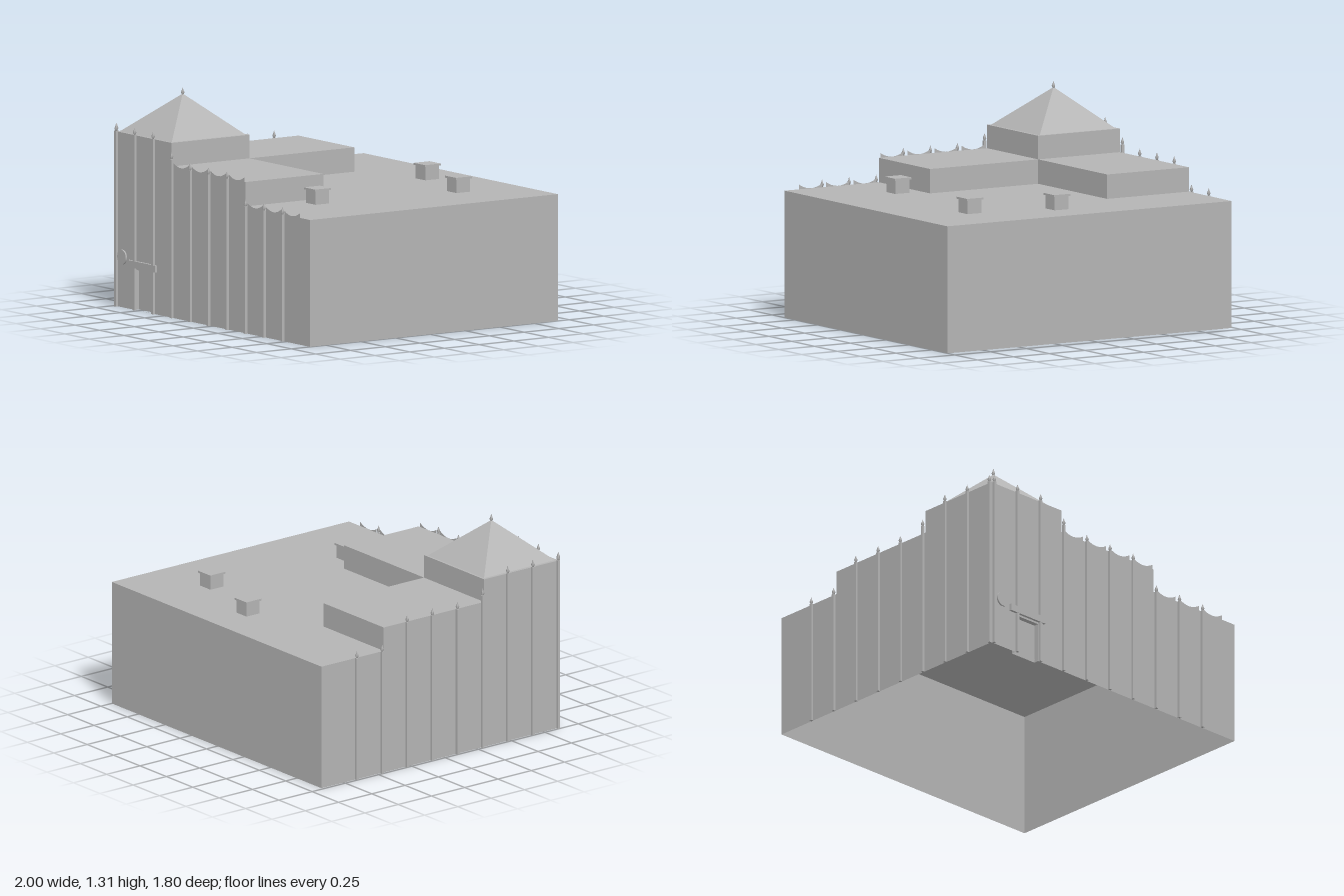
import * as THREE from 'three';

export function createModel() {
  const model = new THREE.Group();
  const stone = new THREE.MeshStandardMaterial({ color: 0xb4b4b4, side: THREE.DoubleSide });
  stone.name = 'grey stone';

  const add = (name, geometry, x = 0, y = 0, z = 0, parent = model) => {
    const mesh = new THREE.Mesh(geometry, stone);
    mesh.name = name;
    mesh.position.set(x, y, z);
    parent.add(mesh);
    return mesh;
  };

  // Single-face panel from four corners, counter-clockwise seen from outside
  const quad = (name, a, b, c, d) => {
    const g = new THREE.BufferGeometry();
    g.setAttribute('position', new THREE.Float32BufferAttribute([...a, ...b, ...c, ...d], 3));
    g.setIndex([0, 1, 2, 0, 2, 3]);
    g.computeVertexNormals();
    return add(name, g);
  };
  const wall = (name, x0, z0, x1, z1, y0, y1) =>
    quad(name, [x0, y0, z0], [x1, y0, z1], [x1, y1, z1], [x0, y1, z0]);
  const deck = (name, x0, x1, z0, z1, y) =>
    quad(name, [x0, y, z1], [x1, y, z1], [x1, y, z0], [x0, y, z0]);

  // Plan lines and roof heights
  const L = -0.985, T = -0.415, M = 0.34, R = 1;
  const B = -0.918, S = -0.45, K = 0.305, F = 0.865;
  const low = 0.755, mid = 0.9, high = 1.04;

  // Flat roofs: the shell is hollow, with no floors inside
  deck('lowRoofBack', L, R, B, S, low);
  deck('lowRoofMiddle', T, R, S, K, low);
  deck('lowRoofFront', M, R, K, F, low);
  deck('sideWingRoof', L, T, S, K, mid);
  deck('frontWingRoof', T, M, K, F, mid);
  deck('towerDeck', L, T, K, F, high);

  // Outer walls
  wall('rightWall', R, F, R, B, 0, low);
  wall('backWall', R, B, L, B, 0, low);
  wall('sideWallLow', L, B, L, S, 0, low);
  wall('sideWallMiddle', L, S, L, K, 0, mid);
  wall('sideWallTower', L, K, L, F, 0, high);

  // Steps between the roof levels
  wall('sideWingBack', T, S, L, S, low, mid);
  wall('sideWingInner', T, K, T, S, low, mid);
  wall('frontWingBack', M, K, T, K, low, mid);
  wall('frontWingEnd', M, F, M, K, low, mid);
  wall('towerBack', T, K, L, K, mid, high);
  wall('towerEnd', T, F, T, K, mid, high);

  // Front wall with scalloped parapets and a door opening
  const columnXs = Array.from({ length: 10 }, (_, i) => -0.97 + i * 0.189);
  const facade = new THREE.Shape();
  facade.moveTo(L, 0);
  facade.lineTo(L, high);
  facade.lineTo(T, high);
  facade.lineTo(T, mid);
  const scallops = (from, to, y) => {
    for (let i = from; i <= to; i++) {
      const x0 = columnXs[i] + 0.008, x1 = columnXs[i] + 0.166;
      facade.lineTo(x0, y);
      facade.lineTo(x0, y + 0.022);
      facade.quadraticCurveTo((x0 + x1) / 2, y - 0.024, x1, y + 0.028);
      facade.lineTo(x1, y);
    }
  };
  scallops(3, 6, mid);
  facade.lineTo(M, mid);
  facade.lineTo(M, low);
  scallops(7, 9, low);
  facade.lineTo(R, low);
  facade.lineTo(R, 0);

  const D0 = -0.79, D1 = -0.605, DH = 0.24, DZ = F - 0.03;
  const opening = new THREE.Path();
  opening.moveTo(D0, 0.0005);
  opening.lineTo(D1, 0.0005);
  opening.lineTo(D1, DH);
  opening.lineTo(D0, DH);
  opening.closePath();
  facade.holes.push(opening);
  add('frontWall', new THREE.ShapeGeometry(facade, 8), 0, 0, F);

  // Recessed door with its reveals
  wall('door', D0, DZ, D1, DZ, 0, DH);
  wall('doorRevealRight', D0, F, D0, DZ, 0, DH);
  wall('doorRevealLeft', D1, DZ, D1, F, 0, DH);
  deck('doorHead', D0, D1, DZ, F, DH);

  // Slim columns, each ending in a pointed finial
  const finial = new THREE.LatheGeometry([
    [0.005, 0], [0.011, 0.014], [0.006, 0.026], [0, 0.045],
  ].map(([x, y]) => new THREE.Vector2(x, y)), 4, Math.PI / 4);
  const column = (name, x, z, top) => {
    const g = new THREE.Group();
    g.name = name;
    g.position.set(x, 0, z);
    const h = top - 0.044;
    add('shaft', new THREE.BoxGeometry(0.016, h, 0.016), 0, h / 2, 0, g);
    add('finial', finial, 0, h, 0, g);
    model.add(g);
  };
  columnXs.forEach((x, i) =>
    column('frontColumn', x, F + 0.009, i < 3 ? 1.088 : i === 3 ? 0.99 : i < 7 ? 0.945 : 0.8));
  for (let i = 0; i < 9; i++) {
    const z = 0.855 - i * 0.189;
    column('sideColumn', L - 0.007, z, i < 3 ? 1.088 : i === 3 ? 0.99 : i < 7 ? 0.945 : 0.8);
  }

  // Pyramid roof over the tower
  const pyramid = new THREE.ConeGeometry(0.532 / Math.SQRT2, 0.235, 4, 1, true).toNonIndexed();
  pyramid.rotateY(Math.PI / 4);
  pyramid.computeVertexNormals();
  add('towerRoof', pyramid, -0.7, high + 0.1175, 0.585);
  add('towerFinial', finial, -0.7, 1.268, 0.585);

  // Roof vents with flat caps
  for (const [x, z] of [[0.057, -0.643], [0.575, -0.503], [0.477, 0.443]]) {
    add('ventBody', new THREE.BoxGeometry(0.098, 0.08, 0.098), x, low + 0.04, z);
    add('ventCap', new THREE.BoxGeometry(0.115, 0.012, 0.115), x, low + 0.086, z);
  }

  // Sign board over the door and round sign beside it
  add('signBoard', new THREE.BoxGeometry(0.28, 0.042, 0.016), -0.7, 0.272, F + 0.01);
  const disc = new THREE.CylinderGeometry(0.044, 0.044, 0.009, 24);
  disc.rotateX(Math.PI / 2);
  add('roundSign', disc, -0.905, 0.302, F + 0.012);

  return model;
}
